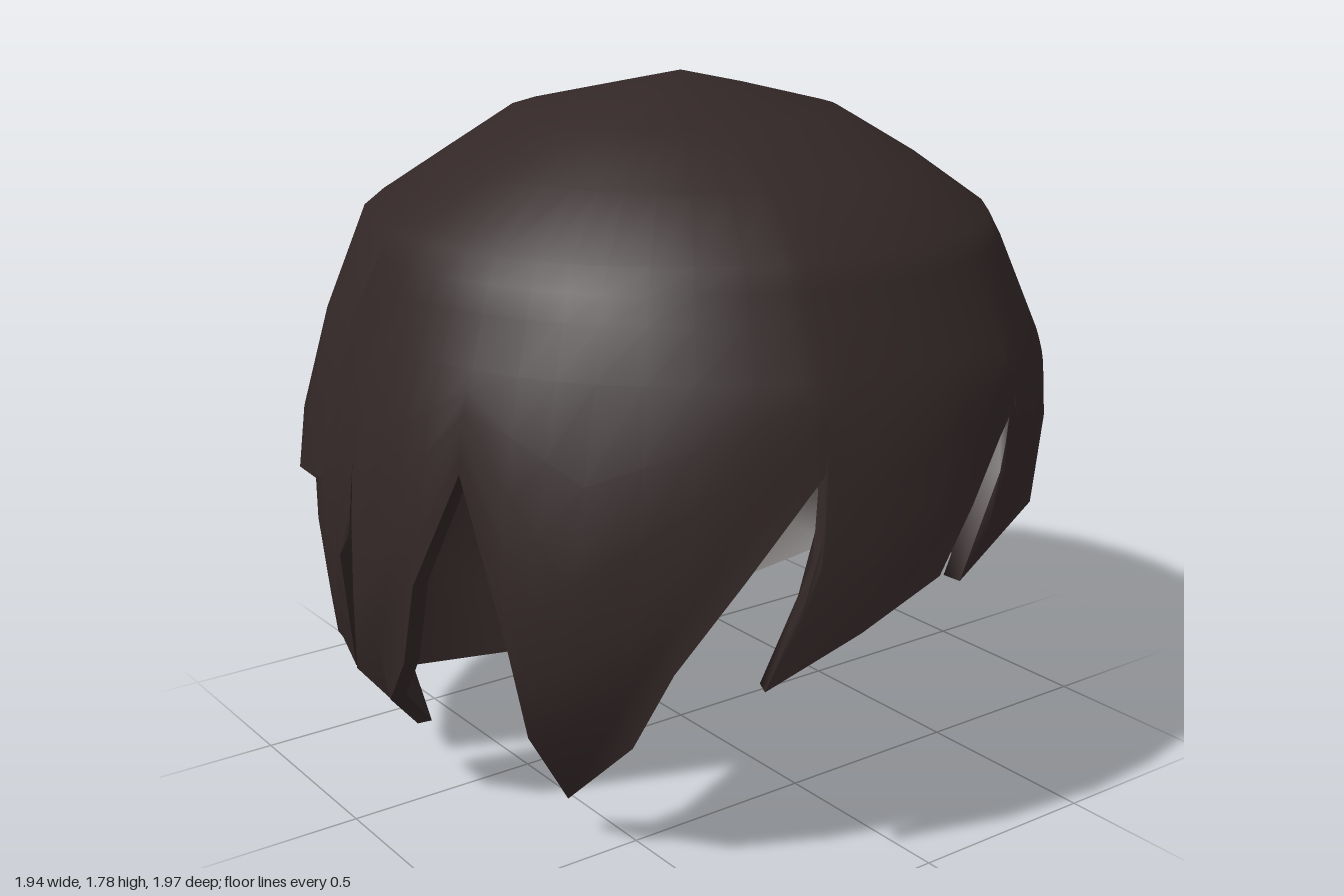
import * as THREE from 'three';
import { mergeVertices } from 'three/addons/utils/BufferGeometryUtils.js';

const { lerp, clamp, degToRad } = THREE.MathUtils;

// piecewise linear lookup in [key, value] pairs sorted by ascending key
function lookup(table, k) {
  if (k <= table[0][0]) return table[0][1];
  for (let i = 1; i < table.length; i++) {
    const [k0, v0] = table[i - 1], [k1, v1] = table[i];
    if (k <= k1) return lerp(v0, v1, (k - k0) / (k1 - k0));
  }
  return table[table.length - 1][1];
}

// head radius by height, for the front, sides and back
const FRONT = [[0.1, 0.75], [0.35, 0.9], [0.52, 0.98], [0.76, 1], [1.13, 0.94], [1.52, 0.74], [1.67, 0.4], [1.78, 0]];
const SIDE = [[0.12, 0.74], [0.24, 0.86], [0.36, 0.94], [0.75, 0.97], [1.08, 0.92], [1.43, 0.8], [1.69, 0.41], [1.78, 0]];
const BACK = [[0, 0.61], [0.31, 0.83], [0.67, 0.93], [1.02, 0.91], [1.45, 0.84], [1.68, 0.47], [1.78, 0]];

// overhanging back layer: height of its edge and how far it stands out, by angle
const LIP_Y = [[-180, 1.1], [-135, 0.98], [-114, 0.82], [-104, 0.8], [-92, 1.2], [92, 1.2], [110, 0.98], [135, 0.98], [180, 1.1]];
const LIP_OUT = [[-180, 1], [-114, 0.7], [-98, 0], [100, 0], [135, 0.8], [180, 1]];

// hem walked round the head: [angle, height, root angle]; 0 is front, + is the left side
const HEM = [
  // right half of the nape
  [-180, 0], [-160, 0.04], [-142, 0.09], [-125, 0.16], [-111, 0.25], [-103, 0.31], [-96, 0.66, -98],
  // right ear lock
  [-91, 0.74, -93], [-98, 0.15, -88], [-88, 0.31, -84], [-80, 0.46, -79], [-76, 0.68, -74], [-68, 0.97],
  // right temple lock
  [-60, 0.57, -60], [-58.5, 0.35, -54], [-57.6, 0.11, -48], [-43, 0.35, -41], [-37, 0.56, -34], [-28, 0.78, -26], [-17, 1.0, -19],
  // large fringe point
  [-16, 1.06, -17], [-18, 0.8, -15], [-25, 0.51, -11], [-12, 0.63, -6], [0, 0.73, 1], [7, 0.87, 7], [15, 1.0, 14], [21, 1.06, 20],
  // small fringe point
  [14, 0.92, 23], [4, 0.7, 26], [22, 0.81, 31], [34, 0.97, 38], [46, 1.05, 46], [58, 1.06],
  // left ear lock
  [69, 0.97], [74, 0.63], [75.5, 0.33], [84, 0.35], [86, 0.67], [90, 0.73],
  // left half of the nape
  [95, 0.68], [99, 0.31], [111, 0.25], [125, 0.16], [142, 0.09], [160, 0.04],
];

function radius(angle, y) {
  const c = Math.cos(degToRad(angle));
  return lerp(lookup(SIDE, y), lookup(c > 0 ? FRONT : BACK, y), c * c);
}

// one strand column from crown to hem; inner columns sit inside the outer ones
function column([end, hemY, root = end], inner) {
  const lipY = lookup(LIP_Y, root), out = inner ? 0 : lookup(LIP_OUT, root);
  const rows = [1.78, 1.74, 1.68, 1.57, 1.44, (1.44 + lipY) / 2, lipY].map((y) => [y, out * clamp((1.5 - y) / (1.5 - lipY), 0, 1)]);
  const under = lipY - 0.06 * out;
  for (let j = out > 0 ? 0 : 1; j <= 5; j++) rows.push([lerp(under, hemY, j / 5), 0]);
  if (out === 0) rows.splice(5, 0, [1.38, 0]);
  return rows.map(([y, lift]) => {
    const s = Math.pow(clamp((1.3 - y) / (1.3 - hemY), 0, 1), 1.7);
    const a = degToRad(lerp(root, end, s));
    const r = (radius(lerp(root, end, s), y) + 0.075 * lift) * (inner ? 0.95 : 1);
    return new THREE.Vector3(r * Math.sin(a), inner ? y - 0.06 * Math.pow(y / 1.78, 4) * clamp((y - hemY) * 3, 0, 1) : y, r * Math.cos(a));
  });
}

// closed band of quads through neighbouring columns
function skin(columns, flip) {
  const n = columns.length, m = columns[0].length, index = [];
  for (let i = 0; i < n; i++) {
    for (let j = 0; j < m - 1; j++) {
      const a = i * m + j, b = ((i + 1) % n) * m + j;
      if (flip) index.push(a, b, a + 1, b, b + 1, a + 1);
      else index.push(a, a + 1, b, b, a + 1, b + 1);
    }
  }
  let geometry = new THREE.BufferGeometry().setFromPoints(columns.flat());
  geometry.setIndex(index);
  geometry = mergeVertices(geometry);
  geometry.computeVertexNormals();
  return geometry;
}

export function createModel() {
  const group = new THREE.Group();
  group.name = 'hair';
  const darkBrown = new THREE.MeshStandardMaterial({ color: 0x332727, side: THREE.DoubleSide });
  darkBrown.name = 'darkBrown';

  const outer = HEM.map((h) => column(h, false));
  const inner = HEM.map((h) => column(h, true));
  const rim = outer.map((c, i) => [c[c.length - 1], inner[i][inner[i].length - 1]]);

  const add = (name, geometry) => {
    const mesh = new THREE.Mesh(geometry, darkBrown);
    mesh.name = name;
    group.add(mesh);
  };
  add('outerHair', skin(outer, false));
  add('innerLining', skin(inner, true));
  add('hemEdge', skin(rim, false));
  return group;
}
